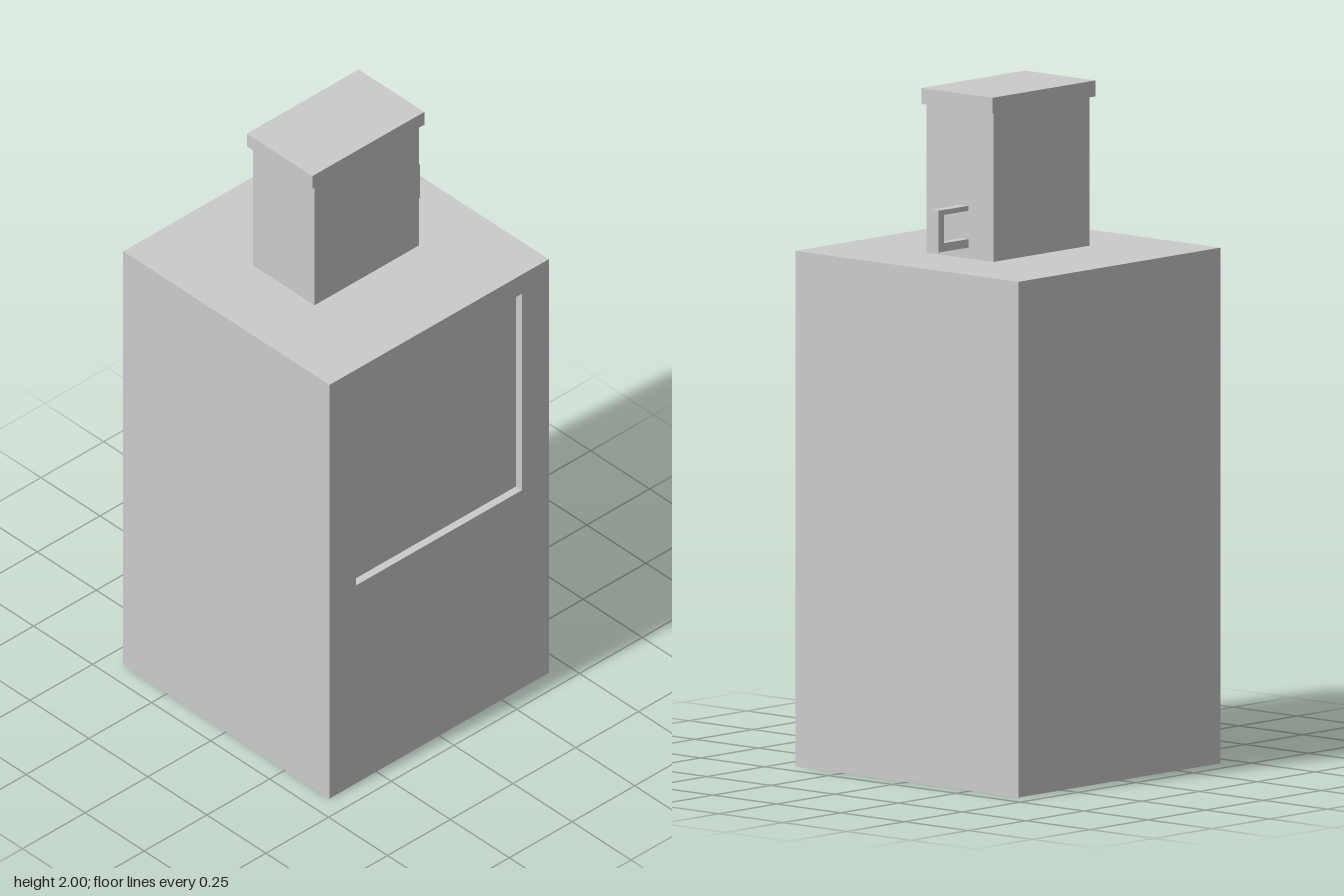
import * as THREE from 'three';

const material = new THREE.MeshStandardMaterial({ color: 0xcccccc, flatShading: true });

function addMesh(parent, name, geometry) {
  const mesh = new THREE.Mesh(geometry, material);
  mesh.name = name;
  parent.add(mesh);
}

// Box given by its minimum and maximum corners
function block(x0, x1, y0, y1, z0, z1) {
  return new THREE.BoxGeometry(x1 - x0, y1 - y0, z1 - z0)
    .translate((x0 + x1) / 2, (y0 + y1) / 2, (z0 + z1) / 2);
}

// Closed solid through a series of rectangles, each [x0, x1, y0, y1, z]
function loftRectangles(rects) {
  const rings = rects.map(([x0, x1, y0, y1, z]) =>
    [[x0, y0, z], [x1, y0, z], [x1, y1, z], [x0, y1, z]]);
  const positions = [];
  const quad = (a, b, c, d) => positions.push(...a, ...b, ...c, ...a, ...c, ...d);
  const last = rings[rings.length - 1];
  quad(rings[0][3], rings[0][2], rings[0][1], rings[0][0]);
  for (let r = 0; r < rings.length - 1; r++) {
    for (let i = 0; i < 4; i++) {
      const j = (i + 1) % 4;
      quad(rings[r][i], rings[r][j], rings[r + 1][j], rings[r + 1][i]);
    }
  }
  quad(...last);
  const geometry = new THREE.BufferGeometry();
  geometry.setAttribute('position', new THREE.Float32BufferAttribute(positions, 3));
  geometry.computeVertexNormals();
  return geometry;
}

export function createModel() {
  const model = new THREE.Group();
  model.name = 'bottle';

  // Square body with a shallow recessed panel in its front
  const half = 0.437, shoulder = 1.515, recess = 0.025;
  addMesh(model, 'body', loftRectangles([
    [-half, half, 0, shoulder, -half],
    [-half, half, 0, shoulder, half],
    [-0.332, 0.33, 0.725, 1.445, half],
    [-0.332, 0.33, 0.725, 1.445, half - recess],
  ]));

  // Neck and overhanging cap
  addMesh(model, 'neck', block(-0.209, 0.207, shoulder, 1.953, -0.13, 0.131));
  addMesh(model, 'cap', block(-0.224, 0.222, 1.953, 2, -0.14, 0.138));

  // Bracket-shaped handle on the left side of the neck
  const outline = [
    [0.207, 1.547], [0.336, 1.547], [0.336, 1.67], [0.207, 1.67],
    [0.207, 1.655], [0.313, 1.655], [0.313, 1.572], [0.207, 1.572],
  ].map(([x, y]) => new THREE.Vector2(x, y));
  addMesh(model, 'handle', new THREE.ExtrudeGeometry(new THREE.Shape(outline),
    { depth: 0.03, bevelEnabled: false }).translate(0, 0, -0.032));

  return model;
}
